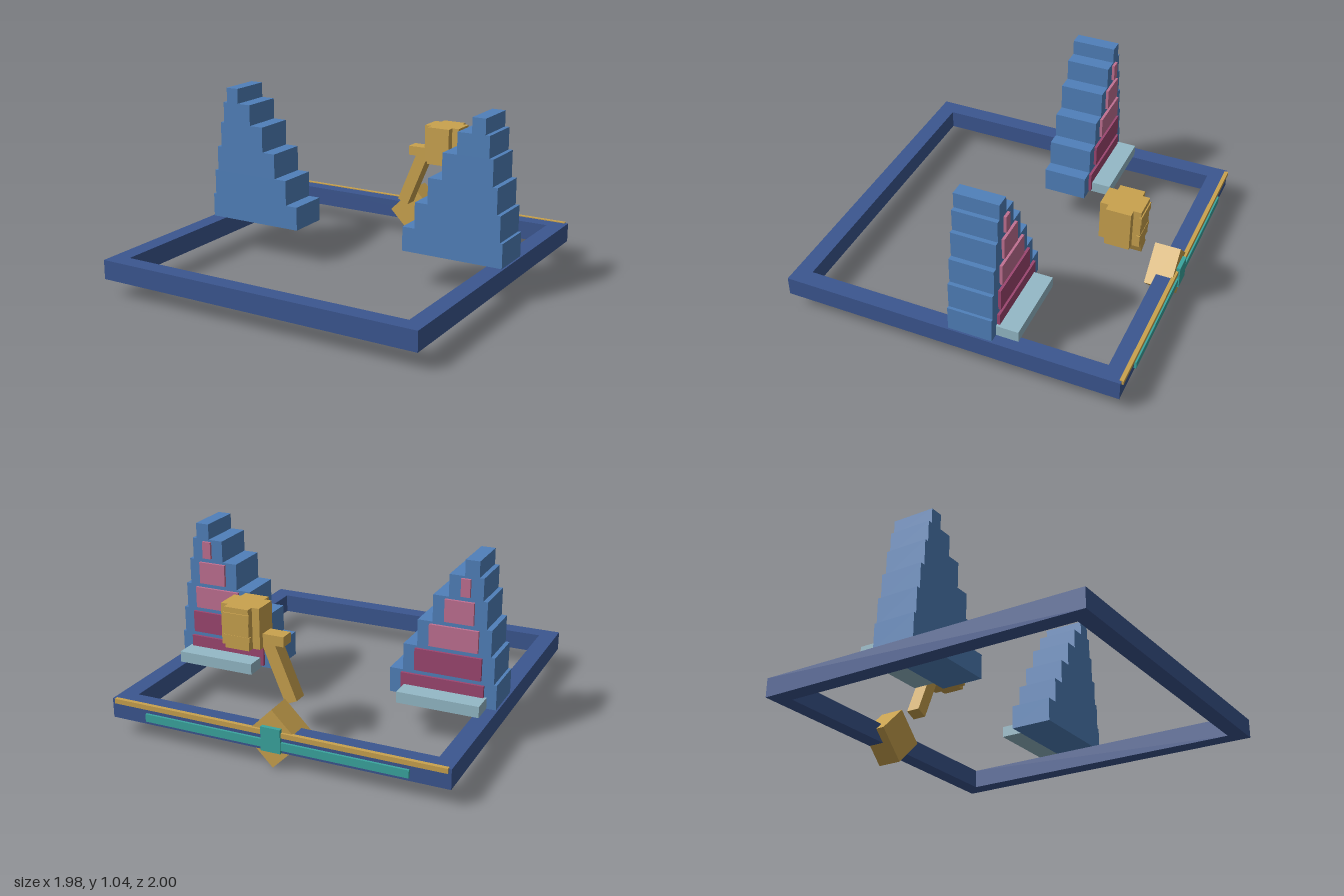
import * as THREE from 'three';

export function createModel() {
  const root = new THREE.Group();
  root.name = 'steppedTowersInFrame';

  const mat = (name, color) => {
    const m = new THREE.MeshStandardMaterial({ color });
    m.name = name;
    return m;
  };
  const navy = mat('navy', 0x3b5690);
  const blue = mat('blue', 0x5080ba);
  const gold = mat('gold', 0xc9a24e);
  const rose = mat('rose', 0xc07092);
  const plum = mat('plum', 0x9c4670);
  const paleBlue = mat('paleBlue', 0x94b9c7);
  const teal = mat('teal', 0x3aa59f);

  const add = (parent, name, geometry, material) => {
    const mesh = new THREE.Mesh(geometry, material);
    mesh.name = name;
    parent.add(mesh);
    return mesh;
  };
  // Box given by its lower and upper limits on each axis
  const box = (parent, name, material, x0, x1, y0, y1, z0, z1) => {
    const mesh = add(parent, name, new THREE.BoxGeometry(x1 - x0, y1 - y0, z1 - z0), material);
    mesh.position.set((x0 + x1) / 2, (y0 + y1) / 2, (z0 + z1) / 2);
    return mesh;
  };
  const rect = (path, x0, x1, y0, y1) =>
    path.moveTo(x0, y0).lineTo(x1, y0).lineTo(x1, y1).lineTo(x0, y1).closePath();

  // Open rectangular base frame, drawn flat (shape y = -z) and laid down
  const outline = rect(new THREE.Shape(), -0.988, 0.988, -1, 0.98);
  outline.holes.push(rect(new THREE.Path(), -0.887, 0.887, -0.9, 0.88));
  const frameGeo = new THREE.ExtrudeGeometry(outline, { depth: 0.113, bevelEnabled: false });
  frameGeo.rotateX(-Math.PI / 2);
  add(root, 'baseFrame', frameGeo, navy).position.y = 0.1;

  // Stepped towers: inner x, outer x, bottom y, top y of each tier
  const tiers = [
    [0.36, 0.977, 0.213, 0.357],
    [0.437, 0.96, 0.357, 0.512],
    [0.517, 0.937, 0.512, 0.665],
    [0.602, 0.907, 0.665, 0.82],
    [0.69, 0.882, 0.82, 0.947],
    [0.776, 0.856, 0.947, 1.038],
  ];
  for (const side of [-1, 1]) {
    const tower = new THREE.Group();
    tower.name = side > 0 ? 'leftTower' : 'rightTower';
    root.add(tower);
    const sideBox = (name, material, a, b, ...rest) =>
      box(tower, name, material, Math.min(side * a, side * b), Math.max(side * a, side * b), ...rest);
    tiers.forEach(([a, b, y0, y1], i) => {
      sideBox('tier', blue, a, b, y0, y1, -0.257, 0);
      // Back panel of every tier but the top one
      if (i < 5) sideBox('backPanel', i < 2 ? plum : rose, a + 0.07, b - 0.07, y0 + 0.015, y1 - 0.012, -0.273, -0.257);
    });
    sideBox('ledge', paleBlue, 0.45, 0.923, 0.213, 0.278, -0.386, -0.257);
  }

  // Diamond mount through the back rail
  const mount = box(root, 'diamondMount', gold, -0.118, 0.118, 0.05, 0.286, -0.977, -0.826);
  mount.rotation.z = Math.PI / 4;

  // Leaning arm with its elbow
  const arm = new THREE.Group();
  arm.name = 'arm';
  root.add(arm);
  const armShape = new THREE.Shape();
  armShape.moveTo(-0.035, 0.297).lineTo(0.033, 0.268).lineTo(0.16, 0.575)
    .lineTo(0.16, 0.6).lineTo(0.09, 0.6).closePath();
  const armGeo = new THREE.ExtrudeGeometry(armShape, { depth: 0.085, bevelEnabled: false });
  add(arm, 'leaningArm', armGeo, gold).position.z = -0.758;
  box(arm, 'elbow', gold, 0.038, 0.162, 0.593, 0.65, -0.758, -0.673);

  // Cross-shaped head
  const head = new THREE.Group();
  head.name = 'head';
  root.add(head);
  const crossPoints = [
    [0.16, 0.65], [0.203, 0.65], [0.203, 0.603], [0.345, 0.603], [0.345, 0.65], [0.388, 0.65],
    [0.388, 0.79], [0.345, 0.79], [0.345, 0.832], [0.203, 0.832], [0.203, 0.79], [0.16, 0.79],
  ].map(([x, y]) => new THREE.Vector2(x, y));
  const headGeo = new THREE.ExtrudeGeometry(new THREE.Shape(crossPoints), { depth: 0.23, bevelEnabled: false });
  headGeo.rotateX(-Math.PI / 2);
  add(head, 'headBlock', headGeo, gold).position.y = 0.57;
  box(head, 'browBar', gold, 0.197, 0.351, 0.725, 0.77, -0.838, -0.825);
  box(head, 'mouthBar', gold, 0.197, 0.351, 0.62, 0.645, -0.834, -0.813);

  // Rails and slider on the back of the frame
  box(root, 'goldRail', gold, -0.972, 0.968, 0.19, 0.218, -0.991, -0.968);
  box(root, 'tealRail', teal, -0.77, 0.77, 0.12, 0.165, -0.994, -0.978);
  box(root, 'slider', teal, -0.058, 0.056, 0.102, 0.24, -1, -0.978);

  return root;
}
